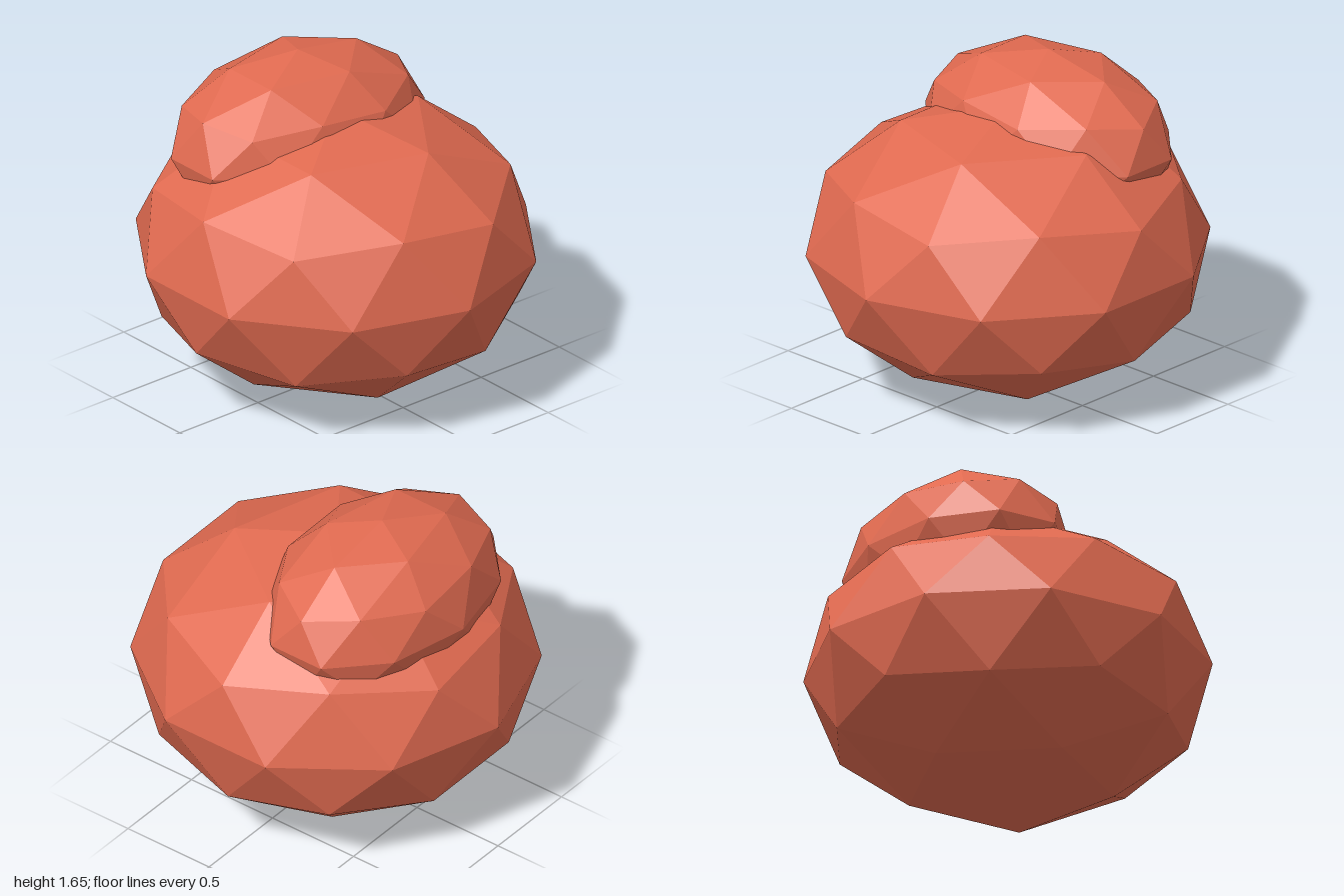
import * as THREE from 'three';

// Faceted ellipsoid with a vertex at the top and bottom
function facetedBall(name, material, radii, centre) {
  const geometry = new THREE.IcosahedronGeometry(1, 1);
  geometry.rotateZ(-Math.atan(2 / (1 + Math.sqrt(5))));
  geometry.scale(...radii);
  geometry.computeVertexNormals(); // unshared corners give flat facets
  const mesh = new THREE.Mesh(geometry, material);
  mesh.name = name;
  mesh.position.set(...centre);
  return mesh;
}

export function createModel() {
  const coral = new THREE.MeshStandardMaterial({ color: 0xe06a50, flatShading: true });
  coral.name = 'coral red';

  const group = new THREE.Group();
  group.name = 'stackedBoulders';

  // Large lower body, resting on its bottom point
  group.add(facetedBall('body', coral, [1, 0.72, 1], [0, 0.72, 0]));
  // Smaller wide lump sunk into the top, towards the back
  group.add(facetedBall('upperLump', coral, [0.715, 0.43, 0.5], [0, 1.22, -0.285]));

  return group;
}
